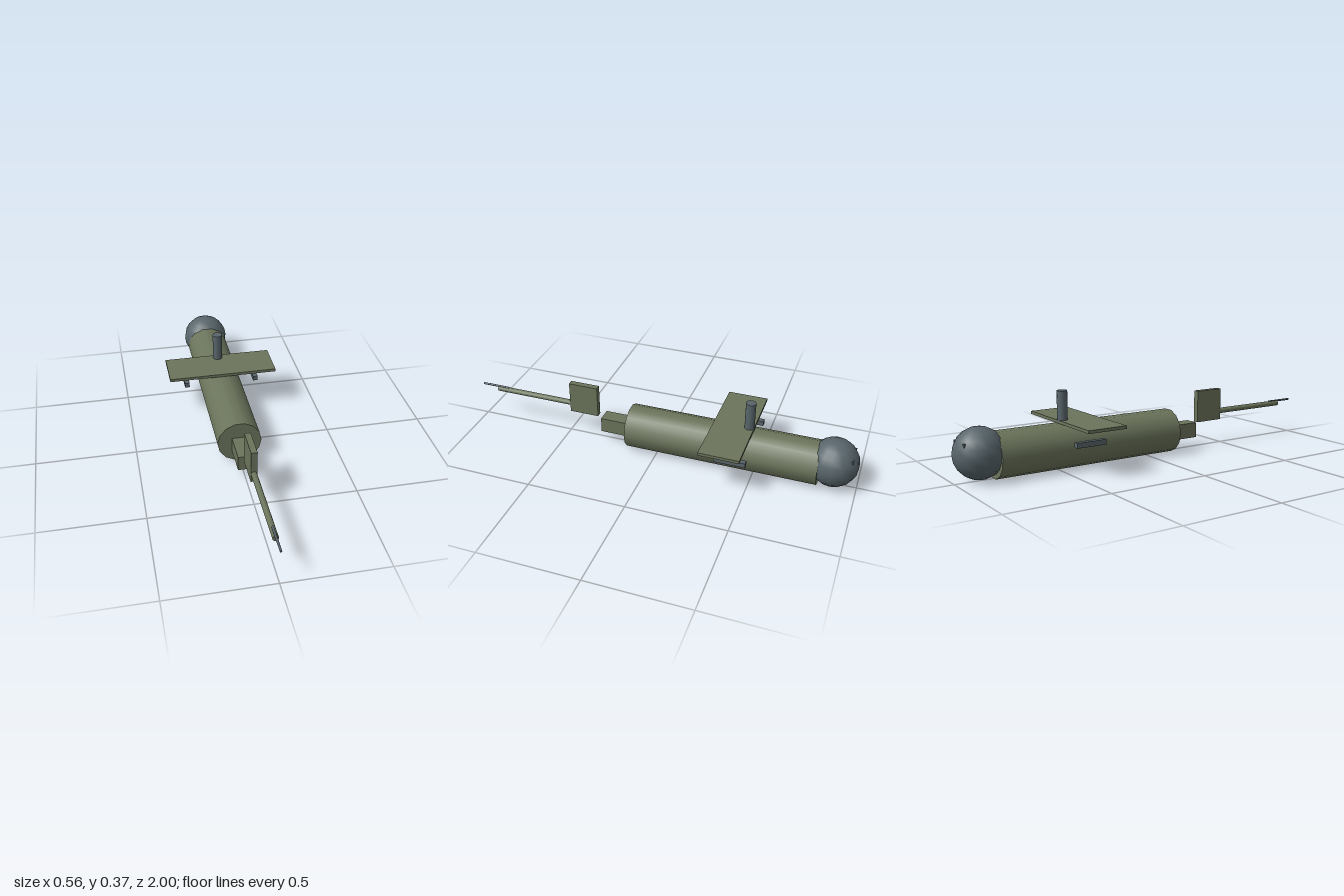
import * as THREE from 'three';

export function createModel() {
  const model = new THREE.Group();
  model.name = 'aircraft';

  const material = (name, color) => {
    const m = new THREE.MeshStandardMaterial({ color });
    m.name = name;
    return m;
  };
  const green = material('oliveGreen', 0x6b745b);
  const grey = material('slateGrey', 0x58656b);

  const add = (name, geometry, mat, x, y, z) => {
    const mesh = new THREE.Mesh(geometry, mat);
    mesh.name = name;
    mesh.position.set(x, y, z);
    model.add(mesh);
    return mesh;
  };
  const box = (name, mat, [w, h, d], [x, y, z]) =>
    add(name, new THREE.BoxGeometry(w, h, d), mat, x, y, z);

  // Cylinder lying along z between two depths
  const tube = (name, mat, radius, sides, y, z0, z1) => {
    const g = new THREE.CylinderGeometry(radius, radius, z1 - z0, sides, 1, false, Math.PI / 2);
    g.rotateX(Math.PI / 2);
    return add(name, g, mat, 0, y, (z0 + z1) / 2);
  };

  // Fuselage, with a vertex at each side and a flat facet underneath
  tube('fuselage', green, 0.11, 14, 0.107, -0.815, 0.155);

  // Round head at the back end and the small bar set into it
  add('roundHead', new THREE.SphereGeometry(0.121, 14, 10), grey, 0, 0.127, -0.879);
  box('headBar', grey, [0.122, 0.02, 0.02], [0, 0.178, -0.961]);

  // Wing, mast and the pair of rails below the wing
  box('wing', green, [0.564, 0.015, 0.2], [0, 0.2215, -0.381]);
  add('mast', new THREE.CylinderGeometry(0.025, 0.025, 0.16, 12), grey, 0, 0.289, -0.458);
  for (const side of [-1, 1]) {
    box(side > 0 ? 'leftRail' : 'rightRail', grey, [0.025, 0.025, 0.153], [side * 0.186, 0.145, -0.415]);
  }

  // Front block, upright fin and long probe
  box('frontBlock', green, [0.076, 0.077, 0.153], [0, 0.0945, 0.231]);
  box('fin', green, [0.03, 0.165, 0.153], [0, 0.21, 0.411]);
  tube('probe', green, 0.0145, 10, 0.171, 0.48, 0.91);
  tube('probeTip', grey, 0.0055, 8, 0.184, 0.85, 1.0);

  return model;
}
